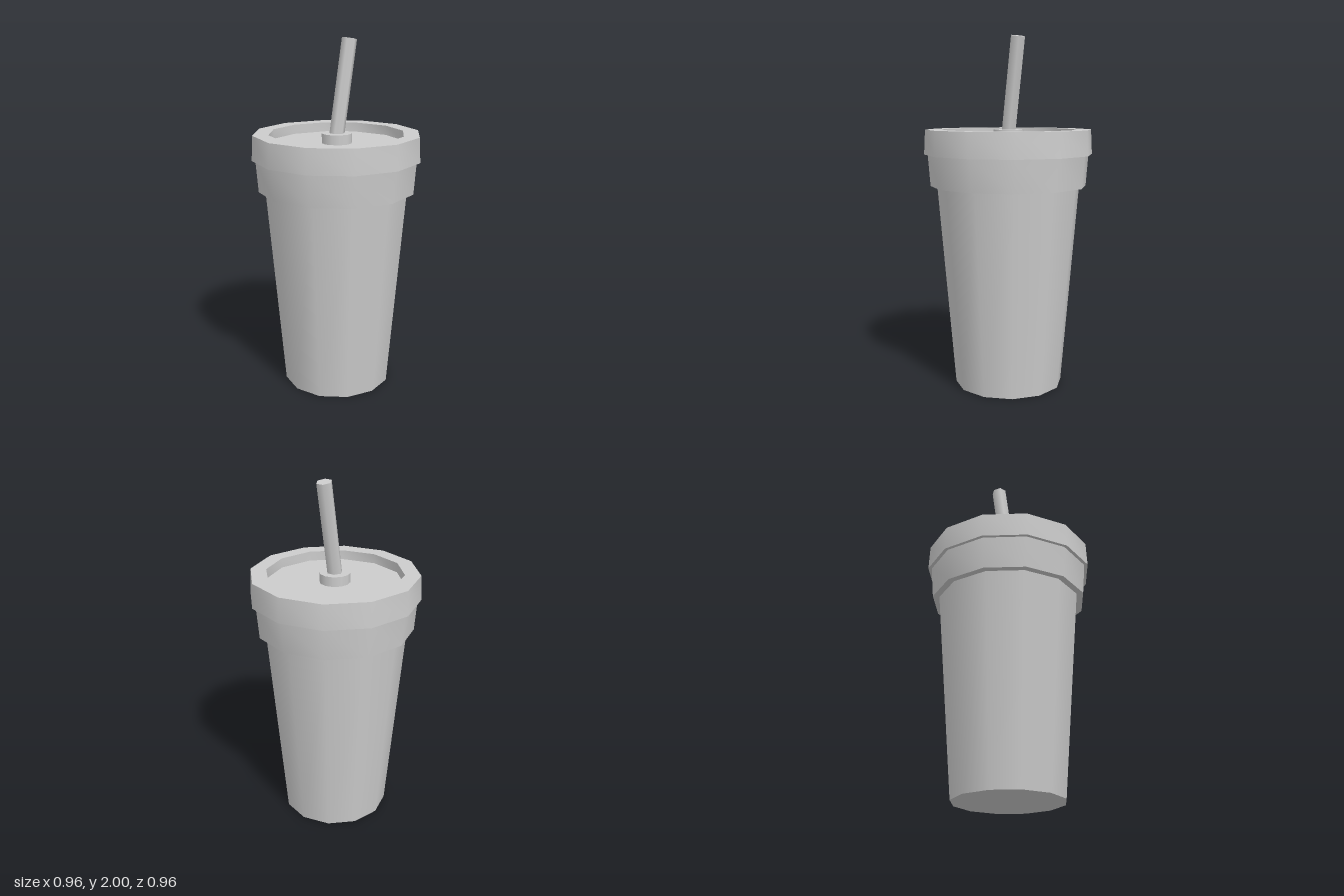
import * as THREE from 'three';
import { toCreasedNormals } from 'three/addons/utils/BufferGeometryUtils.js';

const SIDES = 12;

export function createModel() {
  const group = new THREE.Group();
  const material = new THREE.MeshStandardMaterial({ color: 0xcccccc });

  const add = (name, geometry) => {
    const mesh = new THREE.Mesh(geometry, material);
    mesh.name = name;
    group.add(mesh);
    return mesh;
  };

  // Tapered cup body with a closed base
  add('cup', new THREE.CylinderGeometry(0.408, 0.31, 1.16, SIDES)).position.y = 0.58;

  // Lid: flared skirt, overhanging rim and recessed top
  const profile = [
    [0.4, 1.16], [0.446, 1.16], [0.46, 1.34], [0.48, 1.34],
    [0.473, 1.48], [0.384, 1.48], [0.384, 1.425], [0, 1.425],
  ].map(([r, y]) => new THREE.Vector2(r, y));
  add('lid', toCreasedNormals(new THREE.LatheGeometry(profile, SIDES), 0.6));

  // Raised collar around the straw
  add('strawCollar', new THREE.CylinderGeometry(0.086, 0.086, 0.06, SIDES)).position.y = 1.45;

  // Hexagonal straw leaning backwards, built down from its top end
  const length = 0.58;
  const strawGeometry = new THREE.CylinderGeometry(0.043, 0.043, length, 6);
  strawGeometry.rotateY(Math.PI / 2);
  strawGeometry.translate(0, -length / 2, 0);
  const straw = add('straw', strawGeometry);
  straw.position.set(0, 1.9935, -0.092);
  straw.rotation.x = -THREE.MathUtils.degToRad(10);

  return group;
}
